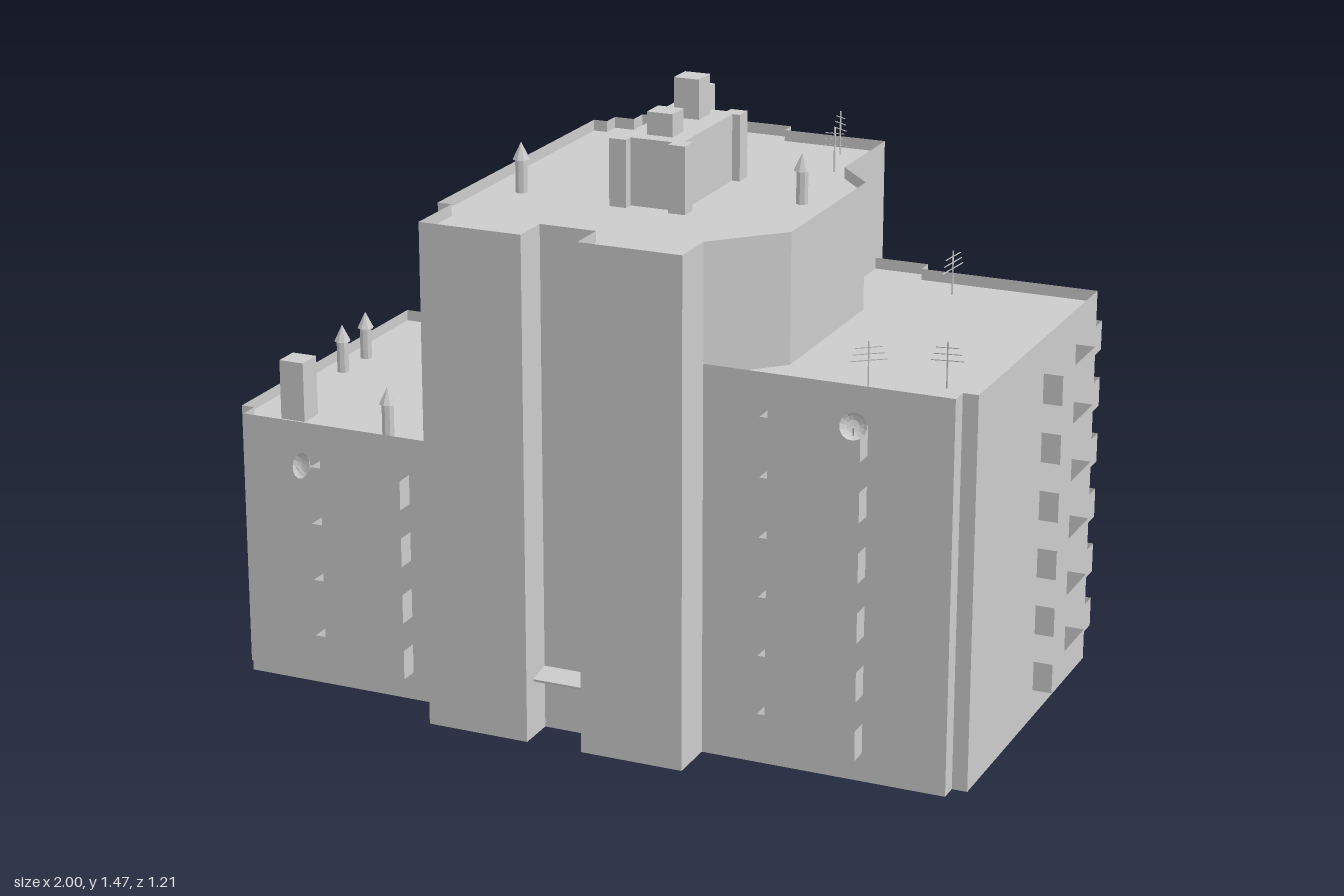
import * as THREE from 'three';

const grey = new THREE.MeshStandardMaterial({ color: 0xcccccc, side: THREE.DoubleSide, flatShading: true });
const PARAPET = 0.028;
const LEFT_H = 0.665, TOWER_H = 1.235, RIGHT_H = 0.95;
const FLOOR = 0.1437; // storey height

function add(parent, name, geometry, x = 0, y = 0, z = 0) {
  const mesh = new THREE.Mesh(geometry, grey);
  mesh.name = name;
  mesh.position.set(x, y, z);
  parent.add(mesh);
  return mesh;
}

// Thin upright walls following an [x, z] path
function wallGeometry(path, y0, y1) {
  const pos = [];
  for (let i = 0; i + 1 < path.length; i++) {
    const [ax, az] = path[i], [bx, bz] = path[i + 1];
    pos.push(ax, y0, az, ax, y1, az, bx, y0, bz);
    pos.push(bx, y0, bz, ax, y1, az, bx, y1, bz);
  }
  const g = new THREE.BufferGeometry();
  g.setAttribute('position', new THREE.Float32BufferAttribute(pos, 3));
  g.computeVertexNormals();
  return g;
}

// Flat slab surface inside a closed [x, z] outline
function roofGeometry(outline) {
  const shape = new THREE.Shape(outline.map(([x, z]) => new THREE.Vector2(x, -z)));
  return new THREE.ShapeGeometry(shape).rotateX(-Math.PI / 2);
}

// Box given by its limits
function block(parent, name, x0, x1, y0, y1, z0, z1) {
  return add(parent, name, new THREE.BoxGeometry(x1 - x0, y1 - y0, z1 - z0),
    (x0 + x1) / 2, (y0 + y1) / 2, (z0 + z1) / 2);
}

// Open tray: floor, two ends and a front, without top and back
function trayGeometry(w, h, d) {
  const g = new THREE.BoxGeometry(w, h, d);
  const index = Array.from(g.index.array);
  g.setIndex([0, 1, 3, 4].flatMap(f => index.slice(f * 6, f * 6 + 6)));
  g.clearGroups();
  return g.translate(0, h / 2, d / 2);
}

// Column of balconies on a wall, facing the given angle
function balconies(parent, x, z, angle, from, to) {
  const geo = trayGeometry(0.24, 0.073, 0.047);
  for (let k = from; k <= to; k++) {
    add(parent, 'balcony', geo, x, 0.07 + k * FLOOR, z).rotation.y = angle;
  }
}

// Roof vent: ribbed shaft with a pointed cap
function vent(parent, x, z, roofY) {
  const g = new THREE.Group();
  g.name = 'roofVent';
  add(g, 'ventShaft', new THREE.CylinderGeometry(0.015, 0.015, 0.08, 8), 0, 0.04, 0);
  add(g, 'ventCap', new THREE.ConeGeometry(0.021, 0.042, 8), 0, 0.101, 0);
  g.position.set(x, roofY, z);
  parent.add(g);
}

// Aerial: mast with stacked crossbars in one upright plane
function aerial(parent, x, z, roofY, angle) {
  const g = new THREE.Group();
  g.name = 'aerial';
  add(g, 'mast', new THREE.BoxGeometry(0.003, 0.11, 0.003), 0, 0.055, 0);
  [0.065, 0.08, 0.095].forEach((y, i) => {
    const bar = add(g, 'crossbar', new THREE.BoxGeometry(0.085 - i * 0.012, 0.002, 0.002), 0, y, 0);
    bar.rotation.z = 0.12;
  });
  g.position.set(x, roofY, z);
  g.rotation.y = angle;
  parent.add(g);
}

// Satellite dish opening along local +z, with its feed arm and wall bracket
function dish(parent, x, y, z, angle) {
  const g = new THREE.Group();
  g.name = 'satelliteDish';
  const profile = [[0, -0.009], [0.015, -0.007], [0.025, -0.001], [0.031, 0.006]]
    .map(([r, h]) => new THREE.Vector2(r, h));
  add(g, 'dishBowl', new THREE.LatheGeometry(profile, 14).rotateX(Math.PI / 2));
  const arm = add(g, 'feedArm', new THREE.BoxGeometry(0.003, 0.003, 0.034), 0, -0.011, 0.008);
  arm.rotation.x = -0.6;
  add(g, 'bracket', new THREE.BoxGeometry(0.004, 0.004, 0.025), 0, 0, -0.02);
  g.position.set(x, y, z);
  g.rotation.set(-0.3, angle, 0, 'YXZ');
  parent.add(g);
}

export function createModel() {
  const model = new THREE.Group();
  model.name = 'apartmentBlock';

  // Plan of the walls, running clockwise as seen from above
  const towerFront = [[0.315, 0.485], [0.315, 0.602], [0.06, 0.602], [0.06, 0.505],
    [-0.08, 0.505], [-0.08, 0.602], [-0.337, 0.602], [-0.337, 0.49]];
  const towerLeft = [[-0.337, 0.49], [-0.337, 0.44], [-0.373, 0.44], [-0.373, -0.405],
    [-0.337, -0.405], [-0.337, -0.452]];
  const towerBack = [[-0.337, -0.452], [-0.285, -0.452], [-0.285, -0.505], [-0.028, -0.505],
    [-0.028, -0.546], [0.103, -0.546], [0.103, -0.505], [0.368, -0.505], [0.368, -0.457]];
  const towerRight = [[0.368, -0.457], [0.368, -0.235], [0.463, -0.128], [0.463, 0.333], [0.315, 0.485]];
  const leftWing = [[-0.337, 0.49], [-0.884, 0.49], [-0.884, 0.44], [-0.918, 0.44],
    [-0.918, -0.406], [-0.47, -0.406], [-0.47, -0.452], [-0.337, -0.452]];
  const rightWing = [[0.368, -0.457], [0.505, -0.457], [0.505, -0.413], [0.952, -0.413],
    [0.952, 0.44], [0.915, 0.44], [0.915, 0.485], [0.315, 0.485]];

  const leftRoof = LEFT_H - PARAPET, towerRoof = TOWER_H - PARAPET, rightRoof = RIGHT_H - PARAPET;

  // Walls
  add(model, 'towerFrontWall', wallGeometry(towerFront, 0, TOWER_H));
  add(model, 'towerBackWall', wallGeometry(towerBack, 0, TOWER_H));
  add(model, 'towerRightWall', wallGeometry(towerLeft, leftRoof, TOWER_H));
  add(model, 'towerLeftWall', wallGeometry(towerRight, rightRoof, TOWER_H));
  add(model, 'lowWingWall', wallGeometry(leftWing, 0, LEFT_H));
  add(model, 'highWingWall', wallGeometry(rightWing, 0, RIGHT_H));

  // Roofs, sunk behind the parapets
  const inner = path => path.slice(1, -1).reverse();
  const towerOutline = [towerFront, towerLeft, towerBack, towerRight].flatMap(p => p.slice(0, -1));
  add(model, 'towerRoof', roofGeometry(towerOutline), 0, towerRoof, 0);
  add(model, 'lowWingRoof', roofGeometry([...leftWing, ...inner(towerLeft)]), 0, leftRoof, 0);
  add(model, 'highWingRoof', roofGeometry([...rightWing, ...inner(towerRight)]), 0, rightRoof, 0);

  // Balconies
  const q = Math.PI / 2;
  balconies(model, -0.558, 0.49, 0, 0, 3);
  balconies(model, -0.798, -0.406, Math.PI, 0, 3);
  balconies(model, -0.918, -0.137, -q, 0, 3);
  balconies(model, -0.373, -0.137, -q, 4, 7);
  balconies(model, 0.592, 0.485, 0, 0, 5);
  balconies(model, 0.832, -0.413, Math.PI, 0, 5);
  balconies(model, 0.952, -0.137, q, 0, 5);

  // Sloping canopies over the entrances
  [[-0.01, 0.536, 0.14, 1], [-0.408, -0.481, 0.1, -1], [0.038, -0.576, 0.105, -1], [0.438, -0.483, 0.1, -1]]
    .forEach(([x, z, w, side]) => {
      add(model, 'canopy', new THREE.BoxGeometry(w, 0.006, 0.06), x, 0.148, z).rotation.x = side * 0.2;
    });

  // Rooftop plant room with corner piers
  block(model, 'plantRoom', -0.02, 0.13, towerRoof, 1.37, -0.13, 0.19);
  for (const x of [-0.042, 0.107]) {
    for (const z of [-0.153, 0.17]) {
      block(model, 'cornerPier', x, x + 0.043, towerRoof, 1.37, z, z + 0.045);
    }
  }

  // Chimneys
  block(model, 'chimney', 0.015, 0.08, 1.37, 1.467, -0.09, -0.025);
  block(model, 'chimney', 0.025, 0.09, 1.37, 1.425, 0.087, 0.15);
  block(model, 'chimney', -0.112, -0.048, towerRoof, 1.358, -0.417, -0.353);
  block(model, 'chimney', -0.824, -0.76, leftRoof, 0.785, 0.35, 0.415);

  // Vents
  [[-0.55, -0.36], [-0.865, -0.085], [-0.865, 0.035], [-0.53, 0.418]].forEach(([x, z]) => vent(model, x, z, leftRoof));
  [[-0.283, 0.187], [0.358, 0.01]].forEach(([x, z]) => vent(model, x, z, towerRoof));

  // Aerials
  aerial(model, 0.278, -0.435, towerRoof, -0.85);
  aerial(model, 0.323, -0.283, towerRoof, -0.4);
  aerial(model, 0.614, -0.33, rightRoof, 1.3);
  aerial(model, 0.684, 0.415, rightRoof, 0.3);
  aerial(model, 0.845, 0.346, rightRoof, -0.2);

  // Satellite dishes
  dish(model, -0.685, 0.583, 0.558, -0.4);
  dish(model, 0.705, 0.88, 0.558, 0.4);
  dish(model, -0.978, 0.585, -0.255, -q - 0.6);
  dish(model, -0.69, 0.275, -0.475, Math.PI + 0.35);
  dish(model, 0.71, 0.275, -0.475, Math.PI - 0.7);
  dish(model, 0.89, 0.59, -0.478, Math.PI - 0.7);

  return model;
}
